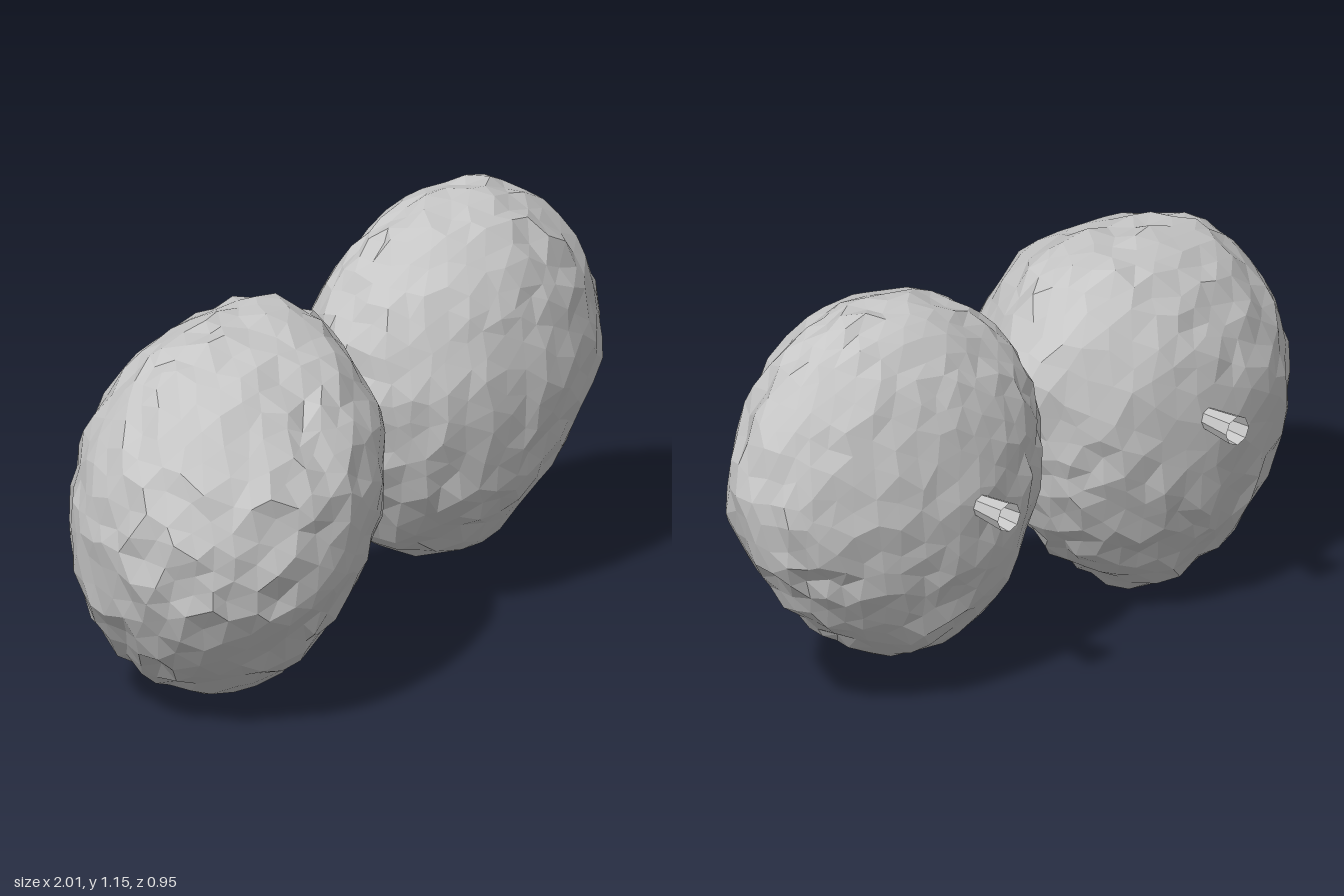
import * as THREE from 'three';
import { mergeVertices } from 'three/addons/utils/BufferGeometryUtils.js';

const stone = new THREE.MeshStandardMaterial({ color: 0xc6c6c6, flatShading: true, side: THREE.DoubleSide });
stone.name = 'stone grey';

// small seeded generator for the chipped surface
function seeded(seed) {
  return () => {
    seed = (seed * 16807) % 2147483647;
    return seed / 2147483647 - 0.5;
  };
}

// smooth radius of an outline given every 30 degrees
function outlineRadius(radii, angle) {
  const n = radii.length;
  const a = ((angle / (2 * Math.PI)) * n + n) % n;
  const i = Math.floor(a);
  const t = a - i;
  const s = t * t * (3 - 2 * t);
  return radii[i % n] * (1 - s) + radii[(i + 1) % n] * s;
}

// Chipped boulder: an outline in x/y, domed to the front and the back
function boulderGeometry({ centre, outline, tilt, front, back, lean, squeeze, seed }) {
  const rand = seeded(seed);
  let geo = new THREE.IcosahedronGeometry(1, 7);
  geo.deleteAttribute('normal');
  geo.deleteAttribute('uv');
  geo = mergeVertices(geo, 1e-4);
  const pos = geo.attributes.position;
  const d = new THREE.Vector3();
  for (let i = 0; i < pos.count; i++) {
    // uneven facets
    d.fromBufferAttribute(pos, i);
    d.set(d.x + rand() * 0.06, d.y + rand() * 0.06, d.z + rand() * 0.06);
    d.normalize().multiplyScalar(0.985 + rand() * 0.05);

    // the front dome leans sideways and narrows in height
    const r = outlineRadius(outline, Math.atan2(d.y, d.x));
    const forward = Math.max(d.z, 0);
    const x = d.x * r;
    const y = d.y * r * (1 - squeeze * forward);
    pos.setXYZ(
      i,
      centre[0] + x + lean * forward,
      centre[1] + y,
      centre[2] + tilt[0] * x + tilt[1] * y + d.z * (d.z > 0 ? front : back),
    );
  }
  geo = geo.toNonIndexed();
  geo.computeVertexNormals();
  return geo;
}

export function createModel() {
  const model = new THREE.Group();
  model.name = 'boulderPair';

  const boulders = [
    {
      name: 'rightBoulder', seed: 4127, centre: [-0.48, 0.55, -0.01],
      outline: [0.495, 0.565, 0.57, 0.505, 0.52, 0.52, 0.52, 0.525, 0.54, 0.55, 0.485, 0.475],
      tilt: [-0.06, 0], front: 0.49, back: 0.365, lean: -0.09, squeeze: 0.12, pegX: -0.435,
    },
    {
      name: 'leftBoulder', seed: 9311, centre: [0.48, 0.64, -0.09],
      outline: [0.53, 0.525, 0.53, 0.52, 0.495, 0.49, 0.475, 0.485, 0.525, 0.535, 0.48, 0.475],
      tilt: [0.04, 0.03], front: 0.36, back: 0.28, lean: -0.05, squeeze: 0, pegX: 0.41,
    },
  ];

  for (const b of boulders) {
    const rock = new THREE.Mesh(boulderGeometry(b), stone);
    rock.name = b.name;
    model.add(rock);

    // flared hollow peg sticking out of the back
    const peg = new THREE.Mesh(new THREE.CylinderGeometry(0.042, 0.028, 0.14, 8, 1, true), stone);
    peg.name = b.name + 'Peg';
    peg.rotation.x = -Math.PI / 2;
    peg.position.set(b.pegX, 0.613, -0.41);
    model.add(peg);
  }
  return model;
}
